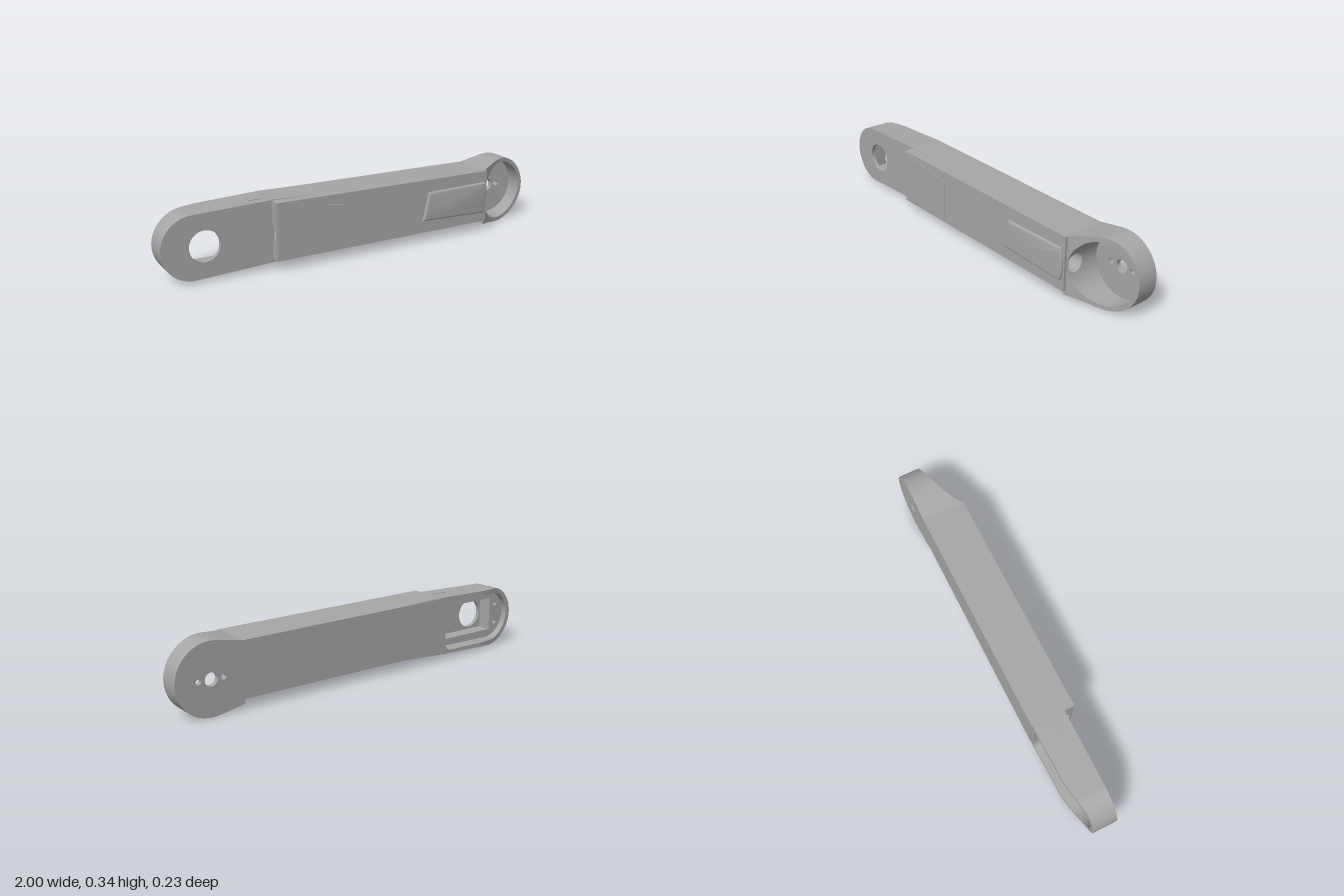
import * as THREE from 'three';
import { toCreasedNormals } from 'three/addons/utils/BufferGeometryUtils.js';

const V2 = (x, y) => new THREE.Vector2(x, y);

export function createModel() {
  const group = new THREE.Group();
  const grey = new THREE.MeshStandardMaterial({ color: 0xa6a6a6, side: THREE.DoubleSide });
  grey.name = 'grey plastic';

  const add = (name, geometry) => {
    const mesh = new THREE.Mesh(toCreasedNormals(geometry, 0.5), grey);
    mesh.name = name;
    group.add(mesh);
    return mesh;
  };

  // Skin between rows of points; all rows have the same length
  const loft = (rows, closed) => {
    const n = rows[0].length, index = [];
    for (let r = 0; r < rows.length - 1; r++)
      for (let i = 0; i < (closed ? n : n - 1); i++) {
        const a = r * n + i, b = r * n + (i + 1) % n;
        index.push(a, b, a + n, b, b + n, a + n);
      }
    const g = new THREE.BufferGeometry();
    g.setAttribute('position', new THREE.Float32BufferAttribute(rows.flat(2), 3));
    g.setIndex(index);
    g.computeVertexNormals();
    return g;
  };

  // Plate in the xy plane between z0 and z1
  const plate = (points, z0, z1, holes = []) => {
    const shape = new THREE.Shape(points);
    shape.holes = holes;
    return new THREE.ExtrudeGeometry(shape, { depth: z1 - z0, bevelEnabled: false, curveSegments: 32 })
      .translate(0, 0, z0);
  };
  const circle = (x, y, r) => new THREE.Path().absarc(x, y, r, 0, Math.PI * 2, true);

  // Main beam, pierced lengthwise by the cable tunnel
  const tunnel = { y: 0.173, z: 0.042, r: 0.046 };
  const section = new THREE.Shape([V2(-0.1, 0.048), V2(0.115, 0.048), V2(0.115, 0.32), V2(-0.1, 0.32)]);
  section.holes.push(circle(-tunnel.z, tunnel.y, tunnel.r));
  const beam = new THREE.ExtrudeGeometry(section, { depth: 1.162, bevelEnabled: false, curveSegments: 24 });
  beam.rotateY(Math.PI / 2).translate(-0.48, 0, 0);
  const p = beam.attributes.position;
  for (let i = 0; i < p.count; i++)
    if (p.getY(i) > 0.3) p.setY(i, p.getX(i) > 0 ? 0.311 : 0.322);
  add('beam', beam);

  // Flares that widen the beam toward the motor end
  add('lowerFlare', plate([V2(-0.48, 0.03), V2(-0.15, 0.049), V2(-0.48, 0.06)], -0.11, 0.05));
  add('upperFlare', plate([V2(-0.48, 0.3), V2(-0.15, 0.317), V2(-0.48, 0.326)], -0.11, 0.05));

  // Front cover panel and raised grip pad
  add('frontPanel', plate([V2(-0.475, 0.055), V2(-0.15, 0.065), V2(-0.15, 0.265), V2(-0.475, 0.318)], 0.099, 0.103));
  const padShape = new THREE.Shape([V2(0.31, 0.122), V2(0.655, 0.108)]);
  padShape.quadraticCurveTo(0.672, 0.17, 0.655, 0.243);
  padShape.lineTo(0.338, 0.24);
  add('gripPad', new THREE.ExtrudeGeometry(padShape, {
    depth: 0.004, bevelThickness: 0.009, bevelSize: 0.012, bevelSegments: 4,
  }).translate(0, 0, 0.1));

  // Motor end: rounded outline with long straight sides
  const cx = -0.85, cy = 0.165;
  const outline = (r, xEnd, top, bottom, corner) => {
    const pts = [];
    for (let i = 0; i <= 32; i++) {
      const t = -Math.PI / 2 - Math.PI * i / 32;
      pts.push([cx + r * Math.cos(t), cy + r * Math.sin(t)]);
    }
    for (let i = 1; i <= 20; i++)
      pts.push([cx + (xEnd - corner - cx) * i / 20, cy + r + (top - cy - r) * i / 20]);
    for (let i = 0; i <= 6; i++) {
      const t = Math.PI / 2 * (1 - i / 6);
      pts.push([xEnd - corner + corner * Math.cos(t), top - corner + corner * Math.sin(t)]);
    }
    for (let i = 0; i <= 6; i++) {
      const t = -Math.PI / 2 * i / 6;
      pts.push([xEnd - corner + corner * Math.cos(t), bottom + corner + corner * Math.sin(t)]);
    }
    for (let i = 19; i >= 1; i--)
      pts.push([cx + (xEnd - corner - cx) * i / 20, cy - r + (bottom - cy + r) * i / 20]);
    return pts;
  };
  const outer = outline(0.15, -0.47, 0.325, 0.03, 0.001);
  const inner = outline(0.125, -0.5, 0.292, 0.045, 0.04);
  const outerPts = outer.map(([x, y]) => V2(x, y));
  const rimZ = x => -0.07 - 0.035 * THREE.MathUtils.smoothstep(x, -0.98, -0.74)
    - 0.006 * THREE.MathUtils.smoothstep(x, -0.74, -0.48);
  const atZ = (loop, f) => loop.map(([x, y]) => [x, y, f(x)]);
  const floorZ = () => -0.04;
  add('motorRim', loft([atZ(outer, floorZ), atZ(outer, rimZ), atZ(inner, rimZ), atZ(inner, floorZ)], true));

  // Motor bracket with rectangular bay and screw holes, closed by the front plate
  const bay = new THREE.Path([V2(-0.88, 0.08), V2(-0.88, 0.25), V2(-0.56, 0.25), V2(-0.56, 0.08)]);
  const screws = [-0.92, -0.53].flatMap(x => [-0.05, 0.05].map(d => circle(x, cy + d, 0.011)));
  add('motorBracket', plate(outerPts, -0.04, 0.03, [bay, ...screws]));
  add('motorFrontPlate', plate(outerPts, 0.03, 0.05, [circle(-0.8, cy, 0.073)]));

  // Small cable tabs above and below the joint
  for (const y of [0.322, 0.031])
    add('cableTab', new THREE.BoxGeometry(0.09, 0.008, 0.035).translate(-0.525, y, -0.01));

  // Horn cup: tapered outline with a sloping rim
  const hx = 0.832, hy = 0.169, R = 0.168, r = 0.148, gap = 0.35, base = -0.09;
  const slope = x => -0.012 + 0.1 * ((1 - x) / 0.32) ** 2;
  const cupOuter = [], cupInner = [];
  for (let i = 0; i <= 72; i++) {
    const t = (Math.PI - gap) * (i / 36 - 1), s = Math.sin(t), c = Math.cos(t);
    const x = hx + R * c;
    const half = x < 0.8 ? Math.max(R * Math.abs(s), 0.14 + (x - 0.664) * 0.19) : R * Math.abs(s);
    cupOuter.push([x, hy + Math.sign(s) * half]);
    cupInner.push([hx + r * c, hy + r * s]);
  }
  add('cupWall', loft([
    atZ(cupOuter, () => -0.115), atZ(cupOuter, slope), atZ(cupInner, slope), atZ(cupInner, () => base),
  ], false));
  add('cupFloor', plate(cupOuter.map(([x, y]) => V2(x, y)), -0.115, base, [
    circle(hx, hy, 0.031), circle(hx - 0.06, hy, 0.013), circle(hx + 0.06, hy, 0.013),
  ]));

  // Cup wall facing the beam, opened by the tunnel mouth
  const onWall = (a, z) => [hx - r * Math.cos(a), hy + r * Math.sin(a), z];
  const frame = [], mouth = [], throat = [];
  for (let i = 0; i < 64; i++) {
    const t = i / 64 * Math.PI * 2, c = Math.cos(t), s = Math.sin(t);
    const k = 1 / Math.max(Math.abs(c), Math.abs(s));
    const a = gap * c * k, v = s * k;
    const top = slope(hx - r * Math.cos(a));
    frame.push(onWall(a, v > 0 ? tunnel.z + (top - tunnel.z) * v : tunnel.z + (tunnel.z - base) * v));
    const y = tunnel.y + tunnel.r * c, z = Math.min(tunnel.z + tunnel.r * s, 0.079);
    mouth.push(onWall(Math.asin((y - hy) / r), z));
    throat.push([0.68, y, tunnel.z + tunnel.r * s]);
  }
  add('tunnelMouth', loft([frame, mouth, throat], true));

  // Rim between that wall and the beam
  const lip = [], lipBack = [];
  for (let i = 0; i <= 12; i++) {
    const a = gap * (i / 6 - 1), x = hx - r * Math.cos(a);
    lip.push(onWall(a, slope(x)));
    lipBack.push([0.672, hy + r * Math.sin(a) * 2.8, slope(0.672)]);
  }
  add('cupLip', loft([lip, lipBack], false));

  return group;
}
